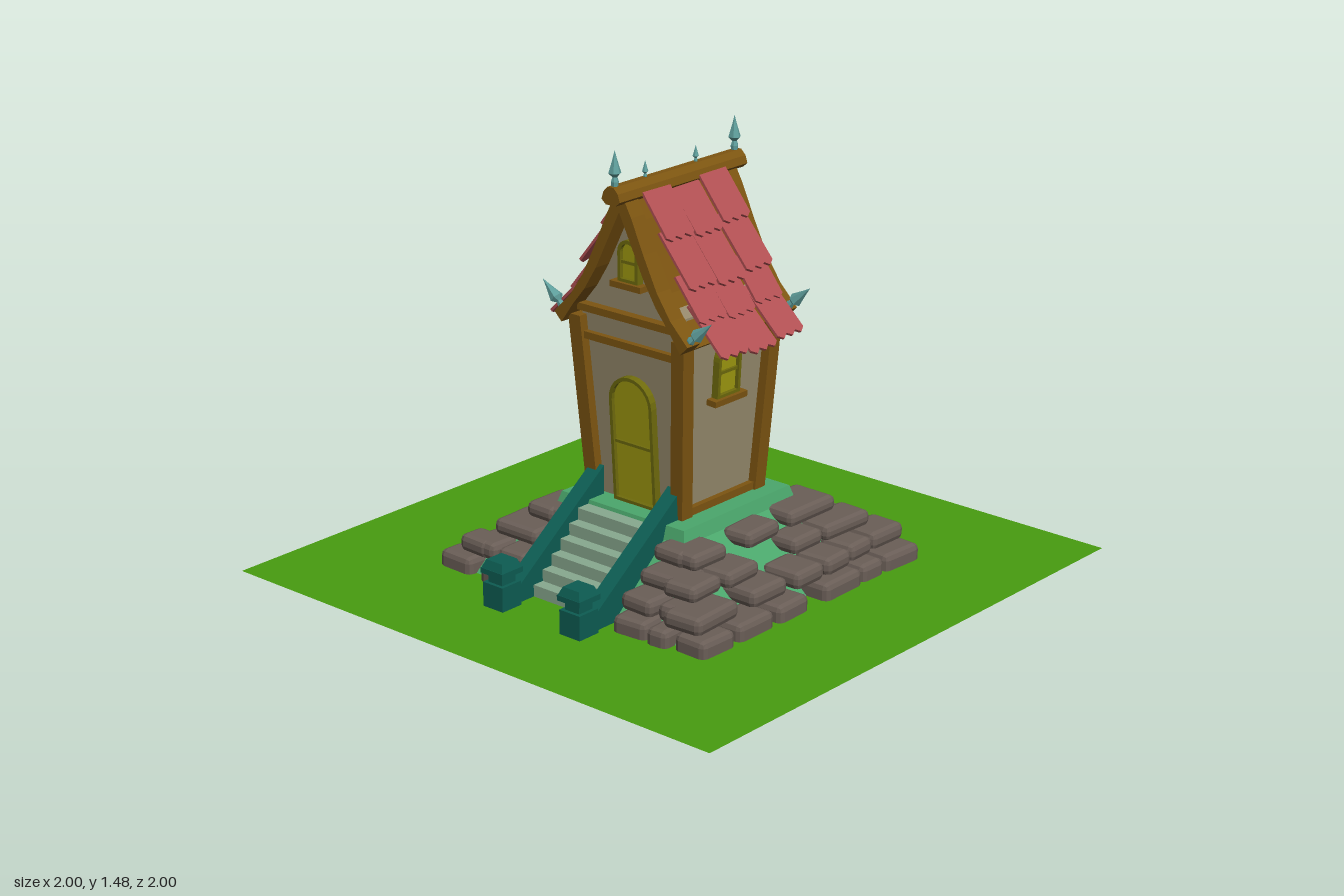
import * as THREE from 'three';
import { RoundedBoxGeometry } from 'three/addons/geometries/RoundedBoxGeometry.js';

const mat = (color) => new THREE.MeshStandardMaterial({ color, flatShading: true, side: THREE.DoubleSide });
const M = {
  grass: mat(0x479c10), moss: mat(0x4ba76c), stone: mat(0x6a5e57), wall: mat(0x968a6c), wood: mat(0x7d5511),
  tile: mat(0xb25053), metal: mat(0x5f9f9c), glass: mat(0xa09a10), frame: mat(0x6f6b0c), teal: mat(0x0d5c52), tread: mat(0x88a98f),
};

function add(parent, name, geo, material, x = 0, y = 0, z = 0) {
  const m = new THREE.Mesh(geo, material);
  m.name = name;
  m.position.set(x, y, z);
  parent.add(m);
  return m;
}
const box = (w, h, d) => new THREE.BoxGeometry(w, h, d);
function group(parent, name, angle = 0) {
  const g = new THREE.Group();
  g.name = name;
  g.rotation.y = angle;
  parent.add(g);
  return g;
}
// Square frustum with half widths at bottom and top
const frustum = (b, t, h) => new THREE.CylinderGeometry(t * Math.SQRT2, b * Math.SQRT2, h, 4).rotateY(Math.PI / 4);
const shapeOf = (pts) => new THREE.Shape(pts.map(([x, y]) => new THREE.Vector2(x, y)));
const extrude = (shape, depth) => new THREE.ExtrudeGeometry(shape, { depth, bevelEnabled: false, curveSegments: 6 });
// Extrude a (z, y) outline along x, centred on x = 0
const extrudeX = (pts, width) => extrude(shapeOf(pts), width).translate(0, 0, -width / 2).rotateY(-Math.PI / 2);

let seed = 7;
const rnd = () => ((seed = (seed * 16807) % 2147483647) / 2147483647) - 0.5;
const SIDE = { front: 0, right: Math.PI / 2, back: Math.PI, left: -Math.PI / 2 };
const wallAt = (y) => 0.175 + 0.06 * (y - 0.285);

// Arched outline standing on y = 0
function arch(w, h, s = new THREE.Shape()) {
  s.moveTo(-w, 0); s.lineTo(w, 0); s.lineTo(w, h - w);
  s.absarc(0, h - w, w, 0, Math.PI, false);
  s.lineTo(-w, 0);
  return s;
}
function arched(parent, name, u, y, w, h, z, sill = true, tilt = 0.06) {
  const g = group(parent, name);
  g.position.set(u, y, z);
  g.rotation.x = tilt;
  const rim = arch(w, h);
  rim.holes.push(arch(w - 0.012, h - 0.024, new THREE.Path()).getPoints(6).length
    ? new THREE.Path(arch(w - 0.012, h - 0.024).getPoints(6).map((p) => p.add(new THREE.Vector2(0, 0.012)))) : null);
  add(g, 'archFrame', extrude(rim, 0.025), M.frame);
  add(g, 'archPanel', extrude(arch(w - 0.006, h - 0.006), 0.012), M.glass);
  add(g, 'crossBar', box(w * 2, 0.01, 0.02), M.frame, 0, h * 0.47, 0.01);
  if (sill) add(g, 'sill', box(w * 2 + 0.045, 0.02, 0.045), M.wood, 0, -0.008, 0.015);
}

function finial(parent, x, y, z, s, tilt = 0) {
  const profile = [[0, 0], [0.011, 0], [0.013, 0.02], [0.008, 0.035], [0.021, 0.048], [0.008, 0.09], [0, 0.12]];
  const f = add(parent, 'finial', new THREE.LatheGeometry(profile.map(([r, h]) => new THREE.Vector2(r, h)), 6), M.metal, x, y, z);
  f.scale.setScalar(s);
  f.rotation.x = tilt;
}

function buildBase(root) {
  add(root, 'ground', new THREE.PlaneGeometry(2, 2).rotateX(-Math.PI / 2), M.grass, 0, 0.035, 0);
  add(root, 'mound', frustum(0.51, 0.27, 0.21), M.moss, 0, 0.14, 0);
  add(root, 'moundTop', frustum(0.275, 0.262, 0.045), M.moss, 0, 0.265, 0);
  // Stone tiers: [bottom, height, distance, depth], then spans along each side
  const tiers = [[0.01, 0.08, 0.5, 0.14], [0.085, 0.06, 0.45, 0.14], [0.143, 0.055, 0.375, 0.13], [0.197, 0.055, 0.305, 0.12]];
  const spans = {
    front: [[[-0.54, -0.39], [-0.37, -0.2], [-0.18, -0.03], [0.05, 0.24], [0.25, 0.36], [0.37, 0.54]],
      [[-0.52, -0.31], [-0.24, -0.07], [-0.04, 0.1], [0.11, 0.24], [0.25, 0.37], [0.38, 0.54]],
      [[-0.44, -0.29], [-0.28, -0.12], [0.07, 0.22], [0.23, 0.45]], [[-0.34, -0.18], [-0.09, 0.08], [0.14, 0.37]]],
    right: [[[-0.38, -0.28], [-0.27, -0.19], [-0.17, -0.04], [0.06, 0.18], [0.25, 0.36], [0.42, 0.55]],
      [[-0.32, -0.22], [-0.21, 0.02], [0.06, 0.19], [0.2, 0.35], [0.36, 0.48]],
      [[-0.3, -0.15], [-0.1, 0.06], [0.12, 0.27], [0.28, 0.42]], [[-0.37, -0.2], [-0.08, 0.08], [0.2, 0.36]]],
    back: [[[-0.5, -0.36], [-0.34, -0.16], [-0.15, 0.04], [0.09, 0.18], [0.21, 0.4], [0.44, 0.54]],
      [[-0.49, -0.33], [-0.15, 0.01], [0.05, 0.17], [0.4, 0.5]],
      [[-0.43, -0.27], [-0.24, -0.08], [0.1, 0.24], [0.25, 0.42]], [[-0.36, -0.18], [-0.05, 0.1], [0.17, 0.34]]],
    left: [[[-0.36, -0.24], [0.22, 0.35], [0.36, 0.44]], [[-0.46, -0.34], [-0.33, -0.21], [0.21, 0.34], [0.35, 0.47]],
      [[-0.42, -0.23], [0.21, 0.38]], [[-0.33, -0.2], [0.2, 0.33]]],
  };
  for (const side in spans) {
    const g = group(root, side + 'Stones', SIDE[side]);
    const out = side === 'front' || side === 'right' ? 0.015 : -0.02;
    spans[side].forEach((row, t) => row.forEach(([a, b]) => {
      const [y, h, d, depth] = tiers[t];
      const stone = add(g, 'stone', new RoundedBoxGeometry(b - a, h, depth + rnd() * 0.03, 1, 0.02), M.stone,
        (a + b) / 2, y + h / 2, d + out + rnd() * 0.02);
      stone.rotation.y = rnd() * 0.14;
    }));
  }
}

function buildStairs(root) {
  const g = group(root, 'stairs');
  for (let i = 0; i < 6; i++) {
    const h = 0.045 + i * 0.04;
    add(g, 'step', box(0.06, h, 0.29), M.tread, -0.495 + i * 0.042, 0.03 + h / 2, 0);
  }
  for (const z of [-0.17, 0.16]) {
    add(g, 'stringer', extrude(shapeOf([[-0.6, 0.05], [-0.55, 0.0], [-0.19, 0.27], [-0.19, 0.385], [-0.6, 0.085]]), 0.055), M.teal, 0, 0, z - 0.0275);
    const post = group(g, 'newelPost');
    post.position.set(-0.64, 0, z);
    add(post, 'block', box(0.085, 0.085, 0.085), M.teal, 0, 0.075, 0);
    add(post, 'neck', box(0.06, 0.04, 0.06), M.teal, 0, 0.135, 0);
    add(post, 'capBase', box(0.095, 0.018, 0.095), M.teal, 0, 0.158, 0);
    add(post, 'cap', frustum(0.046, 0.034, 0.028), M.teal, 0, 0.18, 0);
  }
}

function buildWalls(root) {
  const g = group(root, 'house');
  add(g, 'walls', frustum(0.175, 0.212, 0.63), M.wall, 0, 0.6, 0);
  // Corner posts lean outward
  for (const sx of [-1, 1]) for (const sz of [-1, 1]) {
    const geo = box(0.05, 0.61, 0.05), p = geo.attributes.position;
    for (let i = 0; i < p.count; i++) {
      const c = p.getY(i) > 0 ? 0.218 : 0.18;
      p.setXYZ(i, p.getX(i) + sx * c, p.getY(i) + 0.59, p.getZ(i) + sz * c);
    }
    add(g, 'cornerPost', geo, M.wood);
  }
  for (const side in SIDE) {
    const s = group(g, side + 'Wall', SIDE[side]);
    if (side !== 'left') add(s, 'bottomBeam', box(0.34, 0.026, 0.03), M.wood, 0, 0.3, 0.182);
    if (side === 'left' || side === 'right') {
      add(s, 'lowerBeam', box(0.4, 0.024, 0.03), M.wood, 0, 0.83, 0.213);
      add(s, 'upperBeam', box(0.42, 0.024, 0.045), M.wood, 0, 0.925, 0.215);
    }
    if (side === 'front') arched(s, 'window', 0, 0.66, 0.055, 0.18, wallAt(0.66));
    if (side === 'right') arched(s, 'window', 0.01, 0.552, 0.055, 0.18, wallAt(0.55));
    if (side === 'back') for (const x of [-0.09, 0.09]) arched(s, 'window', x, 0.66, 0.055, 0.18, wallAt(0.66));
    if (side === 'left') {
      arched(s, 'door', 0, 0.288, 0.09, 0.44, wallAt(0.29), false);
      arched(s, 'gableWindow', 0, 1.04, 0.042, 0.14, 0.205, true, 0);
    }
  }
}

function buildRoof(root) {
  const g = group(root, 'roof');
  const outer = [[0, 1.36], [0.05, 1.27], [0.1, 1.16], [0.155, 1.05], [0.21, 0.97], [0.28, 0.9]];
  const inner = [[0, 1.28], [0.05, 1.18], [0.1, 1.08], [0.15, 1.0], [0.2, 0.94], [0.25, 0.87]];
  const flip = (pts) => pts.map(([z, y]) => [-z, y]);
  const both = (pts) => [...flip(pts).reverse(), ...pts.slice(1)];
  const band = [...both(outer), ...both(inner).reverse()];
  add(g, 'gableWall', extrudeX([[-0.2, 0.89], ...both(inner.slice(0, 5).map(([z, y]) => [z, y + 0.015])), [0.2, 0.89]], 0.41), M.wall);
  const deck = [...both(outer.map(([z, y]) => [z * 0.94, y - 0.02])), ...both(inner).reverse()];
  add(g, 'roofDeck', extrudeX(deck, 0.42), M.wood);
  for (const s of [-1, 1]) add(g, 'bargeBoard', extrudeX(band, 0.062), M.wood, s * 0.236, 0, 0);
  add(g, 'ridgeBeam', extrudeX([[-0.038, 1.325], [-0.03, 1.35], [-0.012, 1.368], [0.012, 1.368], [0.03, 1.35], [0.038, 1.325], [0.02, 1.31], [-0.02, 1.31]], 0.61), M.wood);

  // Tiles with a notched lower edge, overlapping in four rows
  const rows = [[0.03, 1.33, 0.14, 1.19], [0.1, 1.215, 0.235, 1.05], [0.165, 1.085, 0.275, 0.95], [0.215, 1.0, 0.365, 0.855]];
  for (const side of ['front', 'back']) {
    const slope = group(g, side + 'Slope', SIDE[side]);
    for (const col of [-1, 0, 1]) for (const [z0, y0, z1, y1] of rows) {
      const len = Math.hypot(z1 - z0, y1 - y0), w = 0.128;
      const edge = Array.from({ length: 7 }, (_, i) => [-w / 2 + (w * i) / 6, i % 2 ? 0 : 0.014]);
      const tile = add(slope, 'tile', extrude(shapeOf([...edge, [w / 2, len], [-w / 2, len]]), 0.009), M.tile,
        col * 0.136, y1 - (col ? 0 : 0.013), z1 + (col ? 0 : 0.004));
      tile.rotation.x = -Math.atan2(z0 - z1, y0 - y1) * -1;
      tile.rotation.z = rnd() * 0.05;
    }
    for (const x of [-0.24, 0.24]) finial(slope, x, 0.9, 0.255, 1.1, 0.86);
  }
  for (const x of [-0.285, 0.285]) finial(g, x, 1.362, 0, 1);
  for (const x of [-0.145, 0.095]) finial(g, x, 1.362, 0, 0.5);
}

export function createModel() {
  const root = new THREE.Group();
  root.name = 'towerHouse';
  buildBase(root);
  buildStairs(root);
  buildWalls(root);
  buildRoof(root);
  return root;
}
